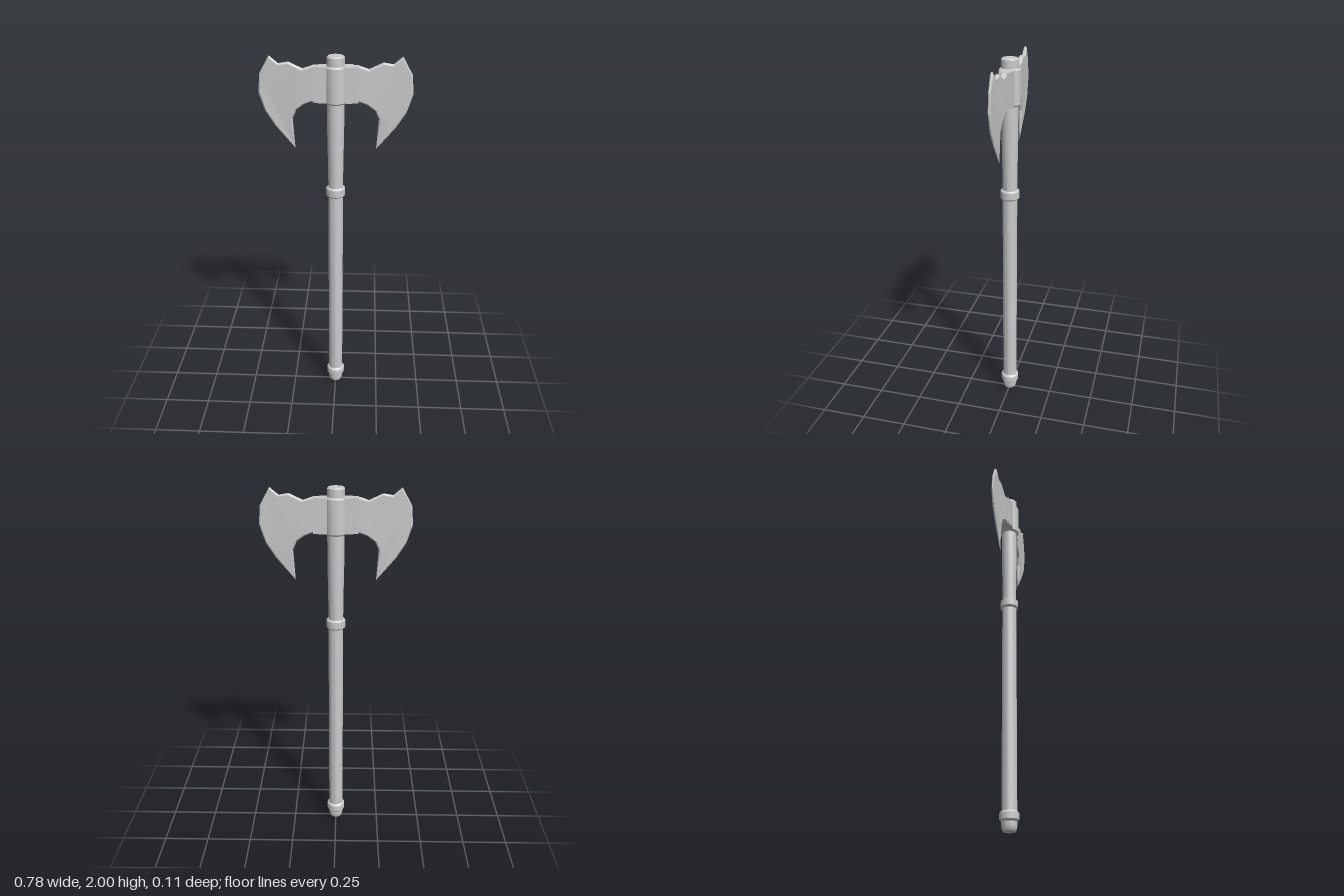
import * as THREE from 'three';
import { toCreasedNormals } from 'three/addons/utils/BufferGeometryUtils.js';

const material = new THREE.MeshStandardMaterial({ color: 0xcccccc });

function part(name, geometry, crease = 0.6) {
  const mesh = new THREE.Mesh(toCreasedNormals(geometry, crease), material);
  mesh.name = name;
  return mesh;
}

function turned(name, profile) {
  return part(name, new THREE.LatheGeometry(profile.map(p => new THREE.Vector2(...p)), 24));
}

// Ring with chamfered rims, closed on both ends
function collar(name, r, y0, y1, c) {
  return turned(name, [[0, y0], [r - c, y0], [r, y0 + c], [r, y1 - c], [r - c, y1], [0, y1]]);
}

// Blade outline: neck, lower hook, cutting edge, upper horn
const outline = [
  [0.1, 1.77], [0.12, 1.77], [0.16, 1.755], [0.2, 1.725], [0.22, 1.68], [0.21, 1.52],
  [0.31, 1.64], [0.36, 1.72], [0.389, 1.815], [0.38, 1.91], [0.33, 1.998],
  [0.285, 1.96], [0.235, 1.968], [0.165, 1.935], [0.12, 1.95], [0.1, 1.95],
];

function bladeGeometry(side) {
  const points = outline.map(([x, y]) => new THREE.Vector2(x * side, y));
  const geo = new THREE.ExtrudeGeometry(new THREE.Shape(points), {
    depth: 0.008, bevelEnabled: true, bevelThickness: 0.01,
    bevelSize: 0.007, bevelOffset: -0.007, bevelSegments: 1,
  });
  geo.translate(0, 0, -0.004);
  // Thin the wedge towards the cutting edge and the hook tip
  const pos = geo.attributes.position;
  for (let i = 0; i < pos.count; i++) {
    const z = pos.getZ(i);
    const out = THREE.MathUtils.clamp((Math.abs(pos.getX(i)) - 0.115) / 0.275, 0, 1);
    const tip = THREE.MathUtils.clamp((pos.getY(i) - 1.51) / 0.2, 0.08, 1);
    const half = Math.abs(z) > 0.008
      ? THREE.MathUtils.lerp(0.018, 0.006, out)
      : THREE.MathUtils.lerp(0.007, 0.002, out);
    pos.setZ(i, Math.sign(z) * half * tip);
  }
  return geo;
}

export function createModel() {
  const axe = new THREE.Group();
  axe.name = 'doubleAxe';

  // Handle
  axe.add(
    turned('pommel', [[0, 0], [0.03, 0], [0.036, 0.006], [0.041, 0.03], [0.041, 0.07], [0, 0.07]]),
    collar('lowerCollar', 0.051, 0.05, 0.103, 0.01),
    turned('shaft', [[0, 0.06], [0.04, 0.06], [0.04, 1.28], [0, 1.28]]),
    collar('middleCollar', 0.051, 1.25, 1.305, 0.008),
    turned('upperShaft', [[0, 1.28], [0.039, 1.28], [0.041, 1.45], [0.044, 1.62], [0.044, 1.8], [0, 1.8]]),
    collar('shaftCap', 0.045, 1.8, 2, 0.006),
  );

  // Head: sleeve and stepped mounting blocks
  axe.add(collar('headSleeve', 0.056, 1.762, 1.952, 0.008));
  for (const [name, w, d] of [['innerBlock', 0.172, 0.07], ['outerBlock', 0.23, 0.05]]) {
    const block = part(name, new THREE.BoxGeometry(w, 0.18, d));
    block.position.y = 1.86;
    axe.add(block);
  }

  // Mirrored blades
  for (const side of [1, -1]) {
    axe.add(part(side > 0 ? 'leftBlade' : 'rightBlade', bladeGeometry(side), 0.3));
  }
  return axe;
}
